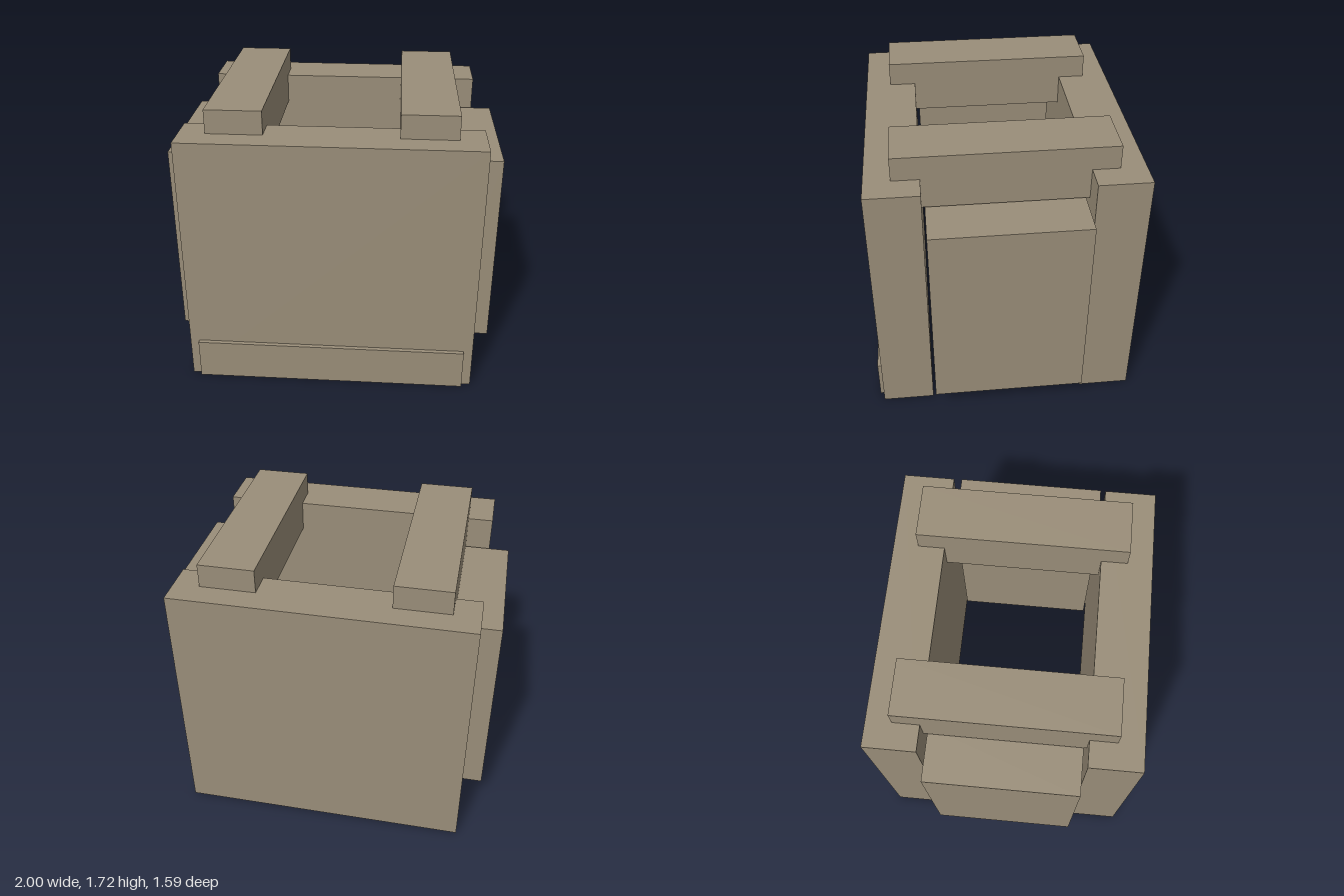
import * as THREE from 'three';

export function createModel() {
  const model = new THREE.Group();
  model.name = 'slabBlock';

  const stone = new THREE.MeshStandardMaterial({ color: 0x9a8e79 });
  stone.name = 'stone';

  // Box given by its extents along each axis
  function slab(name, [x0, x1], [y0, y1], [z0, z1]) {
    const mesh = new THREE.Mesh(new THREE.BoxGeometry(x1 - x0, y1 - y0, z1 - z0), stone);
    mesh.position.set((x0 + x1) / 2, (y0 + y1) / 2, (z0 + z1) / 2);
    mesh.name = name;
    model.add(mesh);
  }

  // Front and back walls, with a low plinth strip on the front
  slab('frontWall', [-0.875, 0.875], [0, 1.577], [0.46, 0.771]);
  slab('backWall', [-0.875, 0.875], [0, 1.577], [-0.797, -0.488]);
  slab('frontPlinth', [-0.82, 0.82], [0, 0.25], [0.771, 0.797]);

  // Raised side walls and the beams let into the tops of the front and back walls
  for (const [side, s] of [['left', 1], ['right', -1]]) {
    const span = (a, b) => (s > 0 ? [a, b] : [-b, -a]);
    slab(side + 'Wall', span(0.675, 1), [0.155, 1.381], [-0.468, 0.443]);
    slab(side + 'Beam', span(0.388, 0.72), [1.39, 1.72], [-0.647, 0.62]);
  }

  return model;
}
